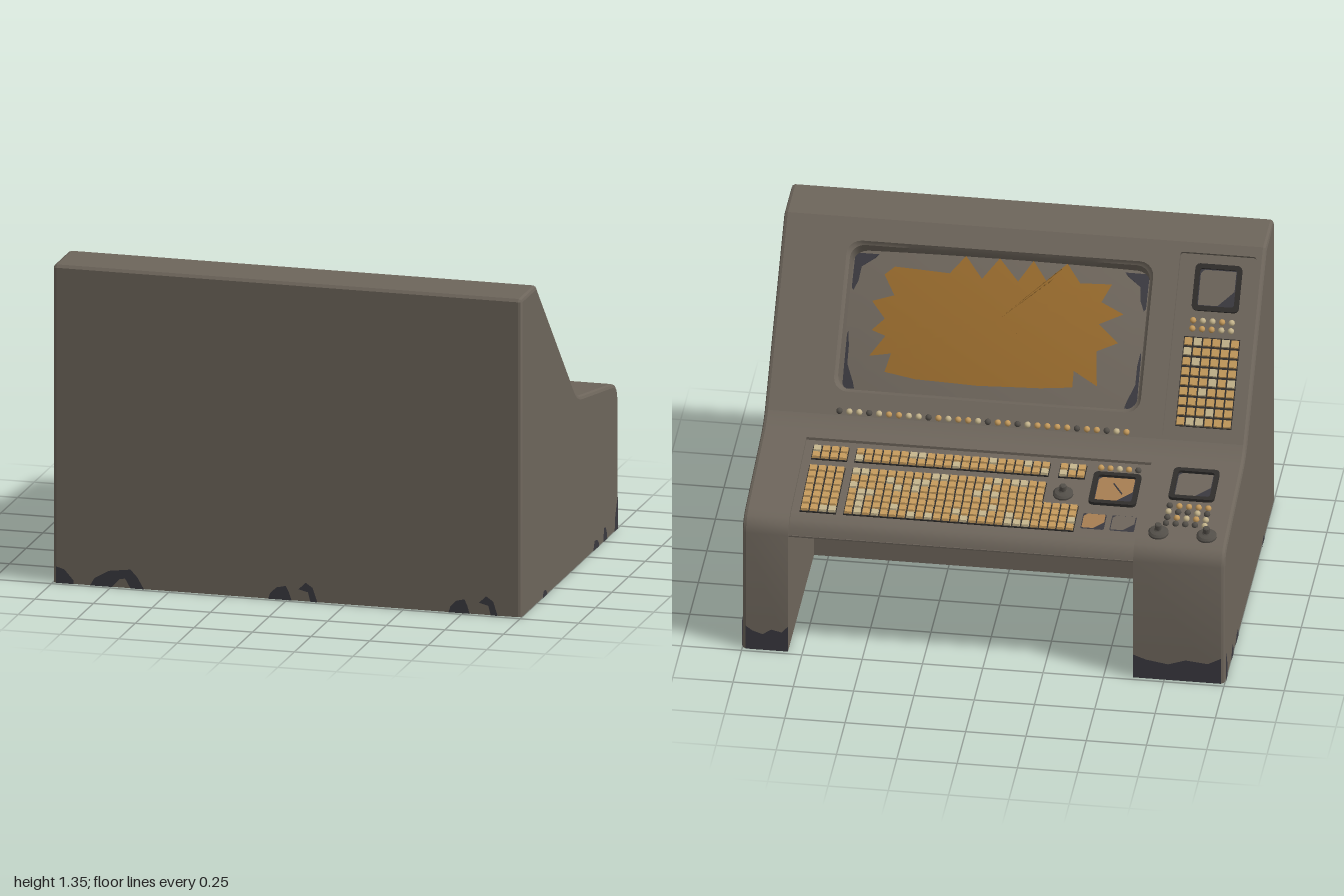
import * as THREE from 'three';
import { mergeGeometries, toCreasedNormals } from 'three/addons/utils/BufferGeometryUtils.js';

const mat = (name, color) => Object.assign(new THREE.MeshStandardMaterial({ color, side: THREE.DoubleSide }), { name });

export function createModel() {
  const root = new THREE.Group();
  const M = {
    body: mat('warm grey casing', 0x6d655b), wear: mat('dark worn metal', 0x3a393f),
    amber: mat('amber screen', 0x94682c), dial: mat('copper dial', 0xa67d52),
    tan: mat('tan key', 0xc49a5c), cream: mat('cream key', 0xc4b48c),
    black: mat('black trim', 0x2f2d2b), knob: mat('knob grey', 0x524e48),
  };
  let seed = 7;
  const rand = () => (seed = (seed * 16807) % 2147483647) / 2147483647;
  const add = (parent, name, geo, m) => {
    const mesh = new THREE.Mesh(geo, m);
    mesh.name = name;
    parent.add(mesh);
    return mesh;
  };

  // Skin over rows of [x, y, z] points
  const skin = (rows, closed = false) => {
    const n = rows[0].length, pos = rows.flat(2), idx = [];
    for (let i = 0; i < rows.length - 1; i++) for (let j = 0; j < (closed ? n : n - 1); j++) {
      const a = i * n + j, b = i * n + (j + 1) % n;
      idx.push(a, b, a + n, b, b + n, a + n);
    }
    const g = new THREE.BufferGeometry();
    g.setAttribute('position', new THREE.Float32BufferAttribute(pos, 3));
    g.setIndex(idx);
    g.computeVertexNormals();
    return g;
  };
  const row = (pts, x) => pts.map(([z, y]) => [x, y, z]);
  const sheet = (pts, x0, x1) => toCreasedNormals(skin([row(pts, x0), row(pts, x1)]), 0.6);
  const shapeOf = pts => new THREE.Shape(pts.map(p => new THREE.Vector2(p[0], p[1])));

  // Side profile as [z, y], from the tall wall over the slope and desk to the leg
  const P = [[.73, 0], [.73, 1.34], [.72, 1.352], [.5, 1.352], [-.08, .752], [-.115, .727], [-.16, .709],
    [-.19, .7032], [-.21, .70], [-.65, .63], [-.69, .617], [-.715, .592], [-.727, .555], [-.73, 0]];
  const inset = d => P.map((p, i) => {
    const a = P[Math.max(i - 1, 0)], b = P[Math.min(i + 1, P.length - 1)];
    const unit = (u, v) => { const l = Math.hypot(v[0] - u[0], v[1] - u[1]) || 1; return [(v[1] - u[1]) / l, (u[0] - v[0]) / l]; };
    const n1 = i ? unit(a, p) : unit(p, b), n2 = i < P.length - 1 ? unit(p, b) : n1;
    const k = d / (1 + n1[0] * n2[0] + n1[1] * n2[1]);
    return [p[0] - (n1[0] + n2[0]) * k, p[1] - (n1[1] + n2[1]) * k];
  });
  const X = .985, KL = -.62, KR = .81;
  const body = new THREE.Group();
  body.name = 'casing';
  root.add(body);
  add(body, 'tallWall', sheet(P.slice(0, 4), -X, X), M.body);
  add(body, 'slopeFoot', sheet(P.slice(4, 8), -X, X), M.body);
  add(body, 'wideLeg', sheet(P.slice(7), -X, KL), M.body);
  add(body, 'narrowLeg', sheet(P.slice(7), KR, X), M.body);
  for (const s of [-1, 1]) {
    const edge = [[1, .015], [.9955, .0045], [.985, 0]].map(([x, d]) => row(inset(d), s * x));
    add(body, 'roundedEdge', toCreasedNormals(skin(edge), 0.6), M.body);
    add(body, 'sideWall', new THREE.ShapeGeometry(shapeOf(inset(.015))).rotateY(-Math.PI / 2).translate(s, 0, 0), M.body);
  }
  // Sunken desk, knee space ceiling and its back wall
  const desk = P.slice(8, 13).map(([z, y]) => [z + (z < -.6 ? .012 : 0), y - .012]);
  add(body, 'deskAndKneeSpace', sheet([P[7], [-.19, .6912], ...desk, [-.716, .55], [.03, .55], [.03, 0]], KL, KR), M.body);
  for (const x of [KL, KR])
    add(body, 'kneeSide', new THREE.ShapeGeometry(shapeOf([[.03, 0], [.03, .55], [-.19, .55], ...P.slice(7)]))
      .rotateY(-Math.PI / 2).translate(x, 0, 0), M.body);

  // Tilted panels: local y is the outward normal, Z() turns plan depth into local z
  const panel = (name, a, b) => {
    const g = new THREE.Group(), t = Math.atan2(a[1] - b[1], a[0] - b[0]);
    g.name = name;
    g.position.set(0, b[1], b[0]);
    g.rotation.x = -t;
    root.add(g);
    return { g, Z: z => (z - b[0]) / Math.cos(t) };
  };
  const slope = panel('slopePanel', P[3], P[4]);
  const D = panel('deskPanel', P[8], P[9]);

  const rounded = (x0, x1, z0, z1, r) => {
    const out = [];
    [[x1 - r, z1 - r], [x0 + r, z1 - r], [x0 + r, z0 + r], [x1 - r, z0 + r]].forEach(([cx, cz], q) => {
      for (let i = 0; i <= 5; i++) {
        const a = (q + i / 5) * Math.PI / 2;
        out.push([cx + r * Math.cos(a), cz + r * Math.sin(a)]);
      }
    });
    return out;
  };
  const flat = (pts, holes = []) => {
    const f = p => p.map(([x, z]) => [x, -z]), s = shapeOf(f(pts));
    holes.forEach(h => s.holes.push(shapeOf(f(h))));
    return s;
  };
  const plate = (p, name, pts, h, m, holes) =>
    add(p.g, name, new THREE.ShapeGeometry(flat(pts, holes)).rotateX(-Math.PI / 2).translate(0, h, 0), m);
  const dense = pts => pts.flatMap((p, i) => {
    const q = pts[(i + 1) % pts.length], n = Math.ceil(Math.hypot(q[0] - p[0], q[1] - p[1]) / .05) || 1;
    return Array.from({ length: n }, (_, k) => [p[0] + (q[0] - p[0]) * k / n, p[1] + (q[1] - p[1]) * k / n]);
  });

  // Sloping face with the screen opening and the side panel tray
  const S = slope.Z, sx0 = -.545, sx1 = .727, sz0 = S(-.01), sz1 = S(.433);
  const opening = dense(rounded(sx0, sx1, sz0, sz1, .06));
  const tray = rounded(-.963, -.647, S(-.07), S(.47), .012);
  plate(slope, 'slopeFace', [[-X, 0], [X, 0], [X, S(.5)], [-X, S(.5)]], 0, M.body, [opening, tray]);
  add(slope.g, 'trayWall', toCreasedNormals(skin([0, -.024].map(h => tray.map(([x, z]) => [x, h, z])), true), .6), M.body);
  plate(slope, 'trayFloor', tray, -.024, M.body);

  // Domed screen
  const mx = (sx0 + sx1) / 2, mz = (sz0 + sz1) / 2, hz = sz1 - mz;
  const dome = (x, z) => -.045 - .04 * ((x - mx) / .636) ** 2 - .02 * ((z - mz) / hz) ** 2;
  const domed = (name, pts, lift, m) => {
    const c = pts.reduce((s, p) => [s[0] + p[0] / pts.length, s[1] + p[1] / pts.length], [0, 0]);
    const rows = Array.from({ length: 13 }, (_, i) => pts.map(p => {
      const x = c[0] + (p[0] - c[0]) * i / 12, z = c[1] + (p[1] - c[1]) * i / 12;
      return [x, dome(x, z) + lift, z];
    }));
    add(slope.g, name, skin(rows, true), m);
  };
  const shrink = d => opening.map(([x, z]) => [mx + (x - mx) * (1 - d / .636), mz + (z - mz) * (1 - d / hz)]);
  const wall = [[0, 0], [.004, -.008], [.014, -.016], [.02, null]].map(([d, h]) =>
    shrink(d).map(([x, z]) => [x, h ?? dome(x, z), z]));
  add(slope.g, 'screenRim', toCreasedNormals(skin(wall, true), .8), M.body);
  domed('screenGlass', shrink(.02), 0, M.body);
  const V = z => S(z - .03);
  const jag = [[-.25, .09], [-.12, .08], [.14, .073], [.4, .08], [.53, .096], [.51, .15], [.6, .14], [.54, .2], [.6, .215],
    [.55, .25], [.61, .3], [.52, .32], [.57, .38], [.53, .405], [.3, .395], [.24, .45], [.165, .385], [.1, .45], [.015, .385],
    [-.04, .45], [-.11, .385], [-.18, .45], [-.24, .395], [-.37, .4], [-.335, .345], [-.43, .315], [-.335, .28],
    [-.42, .23], [-.335, .2], [-.35, .1], [-.25, .14]];
  domed('amberDisplay', dense(jag.map(([x, z]) => [x, V(z)])), .004, M.amber);
  // Worn corners: long across at the upper edge, long upward at the lower edge
  const corner = [[0, 0], [.1, .002], [.085, .02], [.05, .018], [.035, .045], [.022, .06], [.025, .12], [.008, .16], [0, .15]];
  for (const sx of [-1, 1]) for (const sz of [-1, 1])
    domed('screenWear', dense(corner.map(([x, z]) =>
      [mx + sx * (.61 - x * (sz < 0 ? .5 : 1)), mz + sz * (hz - .032 - z * (sz < 0 ? 1.5 : 1))])), .004, M.wear);

  // Many small parts, merged by colour
  const scatter = (p, name, geo, spots, colours) => {
    const lots = colours.map(() => []);
    spots.forEach(s => lots[Math.floor(rand() ** 1.6 * colours.length)].push(geo.clone().translate(...s)));
    lots.forEach((l, i) => l.length && add(p.g, name, mergeGeometries(l), colours[i]));
  };
  const gridSpots = (p, x0, x1, nx, z0, z1, nz, h) => {
    const out = [], at = (a, b, i, n) => n > 1 ? a + (b - a) * i / (n - 1) : a;
    for (let i = 0; i < nx; i++) for (let j = 0; j < nz; j++) out.push([at(x0, x1, i, nx), h, p.Z(at(z0, z1, j, nz))]);
    return out;
  };
  // Keys taper toward the top
  const keyGeo = (w, d) => {
    const g = new THREE.BoxGeometry(w, .014, d), a = g.attributes.position;
    for (let i = 0; i < a.count; i++) if (a.getY(i) > 0) { a.setX(i, a.getX(i) * .85); a.setZ(i, a.getZ(i) * .85); }
    g.computeVertexNormals();
    return g;
  };
  const keys = (p, x0, x1, nx, z0, z1, nz, h) => {
    const a = (x1 - x0) / nx, b = (z1 - z0) / nz, d = p.Z(b) - p.Z(0);
    const bed = new THREE.BoxGeometry(x1 - x0, .006, p.Z(z1) - p.Z(z0));
    add(p.g, 'keyBed', bed, M.black).position.set((x0 + x1) / 2, h + .003, (p.Z(z0) + p.Z(z1)) / 2);
    scatter(p, 'keys', keyGeo(a * .87, d * .84), gridSpots(p, x0 + a / 2, x1 - a / 2, nx, z0 + b / 2, z1 - b / 2, nz, h + .01),
      [M.tan, M.tan, M.tan, M.tan, M.cream]);
  };
  const bead = new THREE.SphereGeometry(.0135, 10, 7);
  const lamps = (p, ...a) => scatter(p, 'lamps', bead, gridSpots(p, ...a), [M.tan, M.cream, M.knob]);

  const low = -.012;
  keys(D, -.36, .595, 26, -.64, -.482, 4, low);
  keys(D, -.21, .595, 22, -.482, -.355, 3, low);
  keys(D, .625, .775, 4, -.64, -.355, 7, low);
  keys(D, -.36, -.25, 3, -.312, -.232, 2, low);
  keys(D, -.21, .595, 22, -.312, -.232, 2, low);
  keys(D, .625, .775, 4, -.312, -.232, 2, low);
  keys(slope, -.927, -.695, 6, -.035, .228, 9, -.024);
  lamps(slope, -.5, .69, 30, -.068, -.068, 1, .006);
  lamps(slope, -.885, -.725, 5, .252, .276, 2, -.02);
  lamps(D, -.893, -.733, 5, -.56, -.45, 4, .004);
  lamps(D, -.572, -.418, 5, -.235, -.235, 1, low + .004);

  // Framed dials with a cut corner
  const gauge = (p, x0, x1, z0, z1, h, face, frame = true) => {
    const a = p.Z(z0), b = p.Z(z1), e = frame ? .02 : 0, c = .42 * (x1 - x0 - 2 * e);
    if (frame) {
      const s = flat(rounded(x0, x1, a, b, .02), [rounded(x0 + e, x1 - e, a + e, b - e, .012)]);
      add(p.g, 'dialFrame', new THREE.ExtrudeGeometry(s, { depth: .014, bevelEnabled: false })
        .rotateX(-Math.PI / 2).translate(0, h, 0), M.black);
    }
    plate(p, 'dialBack', rounded(x0 + e, x1 - e, a + e, b - e, .008), h + .002, M.wear);
    const l = x0 + e + .004, r = x1 - e - .004, t = a + e + .004, d = b - e - .004;
    plate(p, 'dialFace', [[l + c, t], [r, t], [r, d - .015], [r - .015, d], [l, d], [l, t + c]], h + .005, face);
  };
  gauge(D, -.91, -.72, -.41, -.22, 0, M.body);
  gauge(D, -.592, -.395, -.462, -.268, low, M.dial);
  gauge(D, -.607, -.505, -.615, -.52, low, M.body, false);
  gauge(D, -.482, -.385, -.615, -.52, low, M.dial, false);
  gauge(slope, -.908, -.714, .305, .442, -.024, M.body);
  const needle = add(D.g, 'needle', new THREE.BoxGeometry(.005, .003, .075), M.wear);
  needle.position.set(-.505, low + .007, D.Z(-.36));
  needle.rotation.y = .6;

  // Turning knobs
  const knob = new THREE.LatheGeometry([[.042, 0], [.042, .008], [.034, .016], [.018, .02], [.014, .024], [.014, .046], [.01, .05], [0, .05]]
    .map(p => new THREE.Vector2(...p)), 20);
  for (const [x, z, h] of [[-.91, -.62, 0], [-.71, -.62, 0], [-.285, -.41, low]])
    add(D.g, 'knob', toCreasedNormals(knob, .5), M.knob).position.set(x, h, D.Z(z));

  // Worn patches along the base, on both faces of the wall
  const blob = (a, b, h, arch) => {
    const w = b - a, p = [[a, 0], [a + w * .08, h * .4], [a + w * .35, h * .85], [a + w * .75, h], [a + w * .88, h * .6], [b, 0]];
    return shapeOf(arch ? [...p, [b - w * .25, 0], [b - w * .35, h * .5], [a + w * .55, h * .45], [a + w * .4, 0]] : p);
  };
  const patch = (s, face, at) => [-.003, .003].forEach(o => {
    const g = new THREE.ShapeGeometry(s);
    if (face === 'x') g.rotateY(-Math.PI / 2).translate(at + o, 0, 0);
    else g.translate(0, 0, at + o);
    add(body, 'wornPatch', g, M.wear);
  });
  patch(shapeOf([[-.985, 0], [-.985, .07], [-.95, .06], [-.91, .015], [-.91, 0]]), 'z', .73);
  patch(blob(-.84, -.61, .08, true), 'z', .73);
  for (const [a, b, h] of [[-.08, .02, .06], [.69, .78, .06]]) patch(blob(a, b, h), 'z', .73);
  for (const [a, b] of [[.05, .13], [.82, .9]])
    patch(shapeOf([[b, 0], [b - .02, .06], [b - .05, .08], [a, .05], [a + .04, .04], [a + .05, 0]]), 'z', .73);
  for (const x of [-1, 1]) {
    for (const [a, b, h] of [[.35, .42, .028], [-.43, -.34, .04], [-.55, -.49, .06]]) patch(blob(a, b, h), 'x', x);
    patch(shapeOf([[-.66, 0], [-.668, .06], [-.69, .11], [-.714, .145], [-.714, 0]]), 'x', x);
  }
  for (const [a, b] of [[-.985, KL], [KR, .985]]) {
    const w = b - a;
    patch(shapeOf([[a, 0], [a, .12], [a + w * .15, .09], [a + w * .4, .1], [a + w * .6, .075], [a + w * .85, .09], [b, .11], [b, 0]]), 'z', -.73);
  }
  return root;
}
